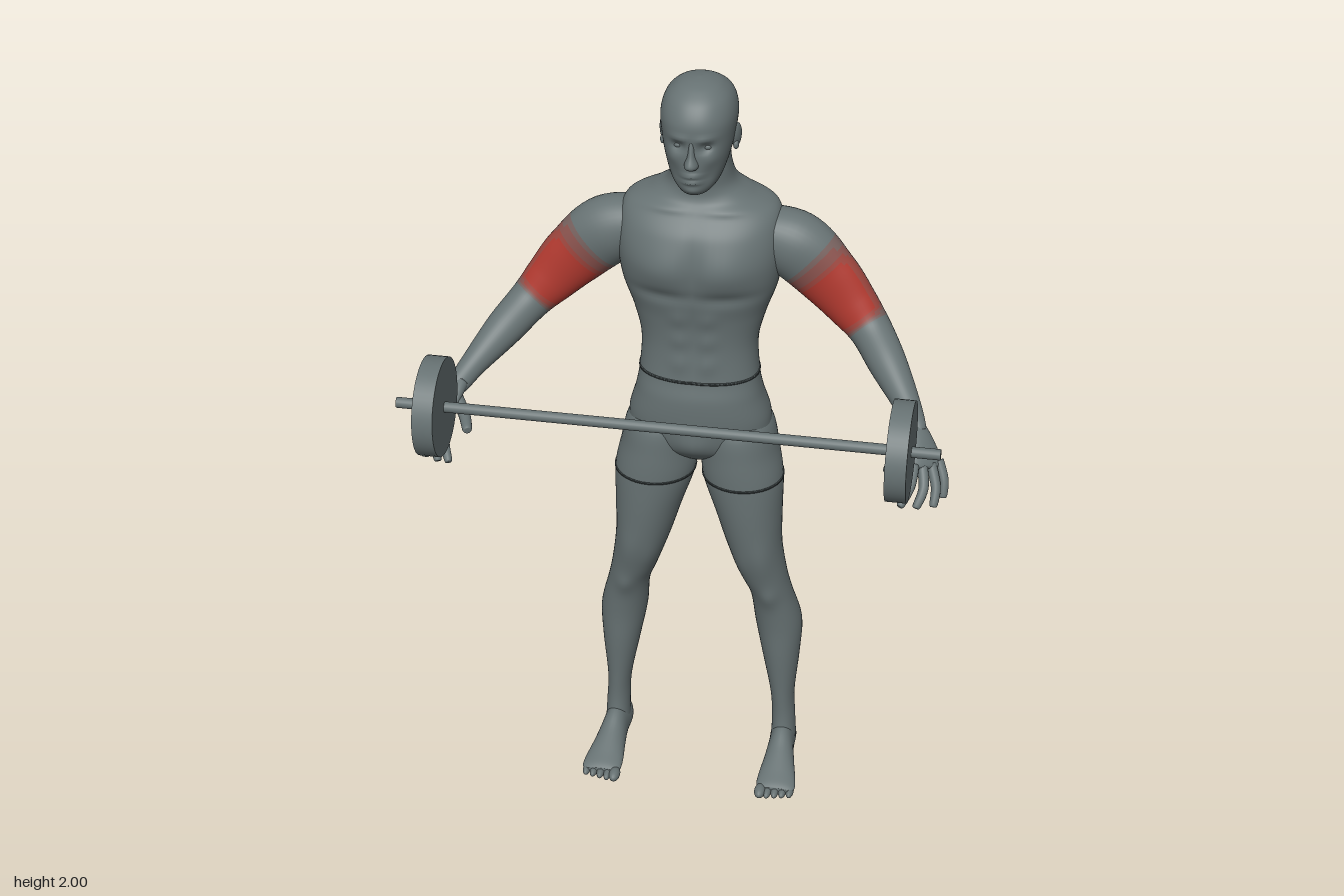
import * as THREE from 'three';

const lerp = THREE.MathUtils.lerp, smooth = THREE.MathUtils.smoothstep;
const mat = (name, color) => Object.assign(new THREE.MeshStandardMaterial({ color }), { name });

// Catmull-Rom blend of whole section rows
function sectionAt(rows, u) {
  const last = rows.length - 1, i = Math.min(Math.floor(u), last - 1), t = u - i;
  const [a, b, c, d] = [i - 1, i, i + 1, i + 2].map(k => rows[Math.max(0, Math.min(last, k))]);
  return b.map((_, k) => 0.5 * (2 * b[k] + (c[k] - a[k]) * t + (2 * a[k] - 5 * b[k] + 4 * c[k] - d[k]) * t * t
    + (3 * b[k] - a[k] - 3 * c[k] + d[k]) * t * t * t));
}

// Skin through sections [x, y, z, side radius, front radius, back radius]
function loft(rows, o = {}) {
  const { n = 32, steps = 6, front = [0, 0, 1], dir, mx = 1, from = 0, to = rows.length - 1,
    inflate = 0, pow = 1, bumps = [], level } = o;
  const m = Math.max(2, Math.round((to - from) * steps)), pos = [], buckets = [[], [], [], [], []];
  const F = new THREE.Vector3(), T = new THREE.Vector3(), S = new THREE.Vector3(), p = new THREE.Vector3();
  const at = u => { const s = sectionAt(rows, Math.max(0, Math.min(rows.length - 1, u))); s[0] *= mx; return s; };
  for (let i = 0; i <= m; i++) {
    const u = lerp(from, to, i / m), s = at(u);
    if (dir) T.set(...dir);
    else { const a = at(u - 0.05), b = at(u + 0.05); T.set(b[0] - a[0], b[1] - a[1], b[2] - a[2]).normalize(); }
    F.set(front[0] * mx, front[1], front[2]).addScaledVector(T, -T.dot(F)).normalize();
    S.crossVectors(T, F);
    for (let j = 0; j < n; j++) {
      const a = j / n * Math.PI * 2, c = Math.cos(a), d = Math.sin(a);
      const r = k => Math.max(0.001, s[k]) + inflate;
      p.set(s[0], s[1], s[2])
        .addScaledVector(S, r(3) * Math.sign(c) * Math.abs(c) ** pow)
        .addScaledVector(F, r(d > 0 ? 4 : 5) * Math.sign(d) * Math.abs(d) ** pow);
      let dz = 0;
      for (const [side, x, y, sx, sy, amp] of bumps)
        dz += side * amp * Math.sqrt(Math.max(0, side * d))
          * Math.exp(-(((Math.abs(p.x) - x) / sx) ** 2) - ((p.y - y) / sy) ** 2);
      pos.push(p.x, p.y, p.z + dz);
    }
  }
  for (let i = 0; i < m; i++) for (let j = 0; j < n; j++) {
    const a = i * n + j, b = i * n + (j + 1) % n;
    const k = level ? level(lerp(from, to, (i + 0.5) / m), (j + 0.5) / n * Math.PI * 2) : 0;
    buckets[k].push(a, a + n, b, b, a + n, b + n);
  }
  const e = at(from), f = at(to), c0 = pos.length / 3;
  pos.push(e[0], e[1], e[2], f[0], f[1], f[2]);
  for (let j = 0; j < n; j++) {
    const k = (j + 1) % n;
    buckets[0].push(c0, j, k, c0 + 1, m * n + k, m * n + j);
  }
  const g = new THREE.BufferGeometry();
  g.setAttribute('position', new THREE.Float32BufferAttribute(pos, 3));
  g.setIndex(buckets.flat());
  let start = 0;
  if (level) buckets.forEach((b, k) => { g.addGroup(start, b.length, k); start += b.length; });
  g.computeVertexNormals();
  return g;
}

// Upright section from height, half width, front z, back z and centre x
const up = ([y, w, zf, zb, x = 0]) => [x, y, (zf + zb) / 2, w, (zf - zb) / 2, (zf - zb) / 2];

export function createModel() {
  const model = new THREE.Group();
  const grey = mat('grey', 0x677273), seam = mat('seam', 0x434b4c), red = mat('muscleRed', 0xb0392f);
  const armMats = [grey, mat('faintRed', 0x78625f), mat('softRed', 0x8a534e), mat('midRed', 0x9d463e), red];
  const add = (name, geo, material = grey, parent = model) => {
    const mesh = new THREE.Mesh(geo, material);
    mesh.name = name;
    parent.add(mesh);
    return mesh;
  };
  const ball = (name, parent, at, size, rot = [0, 0, 0]) => {
    const b = add(name, new THREE.SphereGeometry(1, 20, 14), grey, parent);
    b.position.set(...at); b.scale.set(...size); b.rotation.set(...rot);
  };
  const Y = [0, 1, 0];

  // Torso and neck
  const torso = [
    [0.955, 0.04, -0.17, -0.27], [1.0, 0.165, -0.13, -0.32], [1.07, 0.18, -0.112, -0.345], [1.15, 0.16, -0.108, -0.33],
    [1.21, 0.15, -0.118, -0.315], [1.3, 0.146, -0.122, -0.318], [1.38, 0.165, -0.115, -0.338],
    [1.46, 0.192, -0.098, -0.355], [1.54, 0.203, -0.09, -0.363], [1.61, 0.2, -0.105, -0.362],
    [1.66, 0.185, -0.14, -0.352], [1.69, 0.125, -0.16, -0.34], [1.72, 0.086, -0.165, -0.325],
    [1.77, 0.072, -0.16, -0.305], [1.83, 0.068, -0.16, -0.3]].map(up);
  const torsoBumps = [
    [1, 0.08, 1.53, 0.07, 0.055, 0.013], [1, 0.08, 1.455, 0.08, 0.018, -0.008], [1, 0, 1.53, 0.014, 0.07, -0.009],
    [1, 0, 1.32, 0.01, 0.1, -0.005], [1, 0.08, 1.672, 0.06, 0.01, 0.006], [1, 0, 1.02, 0.04, 0.04, 0.012],
    ...[1.26, 1.325, 1.39].map(y => [1, 0.035, y, 0.022, 0.024, 0.005]),
    [-1, 0, 1.45, 0.028, 0.2, -0.022], [-1, 0.095, 1.57, 0.05, 0.07, 0.014], [-1, 0.05, 1.28, 0.03, 0.08, 0.006],
    [-1, 0.09, 1.06, 0.06, 0.06, 0.012], [-1, 0, 1.04, 0.02, 0.08, -0.045]];
  const torsoOpt = { dir: Y, n: 72, steps: 9, pow: 0.88, bumps: torsoBumps };
  add('torso', loft(torso, torsoOpt));
  add('waistband', loft(torso, { ...torsoOpt, from: 3.95, to: 4.03, inflate: 0.002 }), seam);

  // Head
  const head = new THREE.Group();
  head.name = 'head';
  model.add(head);
  const skull = [
    [1.733, 0.02, -0.115, -0.2], [1.742, 0.04, -0.102, -0.22], [1.77, 0.06, -0.092, -0.25], [1.82, 0.077, -0.087, -0.287],
    [1.87, 0.087, -0.086, -0.308], [1.92, 0.091, -0.087, -0.318], [1.96, 0.08, -0.108, -0.303],
    [1.985, 0.056, -0.14, -0.27], [1.996, 0.03, -0.17, -0.24], [2.0, 0.004, -0.2, -0.21]].map(up);
  add('skull', loft(skull, { dir: Y, n: 72, steps: 8, pow: 0.92, bumps: [
    [1, 0.034, 1.866, 0.016, 0.012, -0.014], [1, 0.03, 1.89, 0.024, 0.008, 0.005], [1, 0.05, 1.835, 0.016, 0.016, 0.004],
    [1, 0, 1.792, 0.022, 0.005, 0.008], [1, 0, 1.776, 0.02, 0.005, 0.008], [1, 0, 1.784, 0.026, 0.003, -0.005],
    [1, 0, 1.752, 0.02, 0.01, 0.005], [1, 0.04, 1.79, 0.014, 0.025, -0.006]] }), grey, head);
  add('nose', loft([[0, 1.885, -0.098, 0.007, 0.012, 0.01], [0, 1.85, -0.092, 0.009, 0.017, 0.01],
    [0, 1.826, -0.09, 0.017, 0.026, 0.01], [0, 1.815, -0.092, 0.014, 0.018, 0.01],
    [0, 1.811, -0.093, 0.003, 0.005, 0.005]], { n: 20, front: [0, 0, 1], dir: [0, -1, 0] }), grey, head);
  for (const s of [1, -1]) {
    ball('eye', head, [s * 0.034, 1.865, -0.114], [0.013, 0.009, 0.012]);
    ball('ear', head, [s * 0.088, 1.855, -0.208], [0.009, 0.033, 0.019], [0.2, s * -0.35, 0]);
    ball('earLobe', head, [s * 0.088, 1.832, -0.2], [0.007, 0.012, 0.01]);
  }

  // Limbs, built once for each side
  const leg = [
    [1.1, 0.06, -0.15, -0.31, 0.09], [1.05, 0.088, -0.12, -0.343, 0.098], [0.98, 0.098, -0.114, -0.34, 0.104],
    [0.905, 0.103, -0.113, -0.318, 0.113], [0.8, 0.086, -0.118, -0.305, 0.13], [0.7, 0.071, -0.13, -0.295, 0.146],
    [0.6, 0.06, -0.152, -0.293, 0.17], [0.53, 0.055, -0.172, -0.3, 0.19], [0.43, 0.061, -0.188, -0.325, 0.207],
    [0.33, 0.05, -0.195, -0.315, 0.215], [0.2, 0.032, -0.207, -0.297, 0.222], [0.12, 0.031, -0.21, -0.294, 0.226],
    [0.05, 0.033, -0.2, -0.3, 0.228]].reverse().map(up);
  const legBumps = [[1, 0.19, 0.545, 0.025, 0.03, 0.008], [1, 0.11, 0.64, 0.025, 0.05, 0.008],
    [1, 0.18, 0.68, 0.03, 0.06, 0.006], [-1, 0.21, 0.37, 0.012, 0.08, -0.006], [-1, 0.13, 0.75, 0.014, 0.1, -0.006]];
  const foot = [
    [0.225, 0.035, -0.316, 0.006, 0.01, 0.01], [0.225, 0.037, -0.305, 0.024, 0.035, 0.032],
    [0.226, 0.036, -0.27, 0.034, 0.06, 0.034], [0.228, 0.036, -0.21, 0.034, 0.066, 0.033],
    [0.231, 0.03, -0.15, 0.041, 0.045, 0.028], [0.234, 0.024, -0.09, 0.05, 0.025, 0.022],
    [0.236, 0.02, -0.055, 0.051, 0.015, 0.018], [0.237, 0.018, -0.04, 0.04, 0.008, 0.012]];
  const arm = [
    [0.11, 1.6, -0.24, 0.05, 0.06, 0.07], [0.225, 1.56, -0.238, 0.086, 0.074, 0.074], [0.312, 1.485, -0.228, 0.08, 0.054, 0.056],
    [0.375, 1.415, -0.22, 0.066, 0.05, 0.052], [0.425, 1.36, -0.2, 0.053, 0.05, 0.052],
    [0.478, 1.31, -0.13, 0.047, 0.045, 0.045], [0.535, 1.253, -0.05, 0.033, 0.032, 0.034],
    [0.563, 1.222, 0.0, 0.027, 0.023, 0.023], [0.57, 1.212, 0.012, 0.022, 0.02, 0.02]];
  const armLevel = (u, a) => Math.round(4 * smooth(u, 1.2, 2.1) * (1 - smooth(u, 3.3, 4.1))
    * Math.max(0, Math.min(1, 0.6 + 0.65 * Math.sin(a))));
  const palmUp = [0.064, 0.077, 0.047];
  const palm = [[0.56, 1.226, -0.004, 0.024, 0.02, 0.02], [0.576, 1.205, 0.025, 0.036, 0.019, 0.02],
    [0.594, 1.172, 0.055, 0.045, 0.016, 0.018], [0.602, 1.155, 0.07, 0.042, 0.012, 0.013], [0.604, 1.151, 0.074, 0.02, 0.006, 0.006]];
  // Fingers as knuckle, middle and tip points
  const fingers = [
    [[0.626, 1.158, 0.04], [0.643, 1.118, 0.062], [0.645, 1.082, 0.078]],
    [[0.61, 1.157, 0.057], [0.627, 1.112, 0.087], [0.626, 1.075, 0.112]],
    [[0.591, 1.16, 0.074], [0.6, 1.12, 0.112], [0.588, 1.085, 0.14]],
    [[0.572, 1.166, 0.088], [0.57, 1.135, 0.132], [0.553, 1.105, 0.17]],
    [[0.563, 1.2, 0.03], [0.533, 1.178, 0.075], [0.514, 1.17, 0.125]]];

  for (const mx of [1, -1]) {
    const side = mx > 0 ? 'left' : 'right';
    const group = part => { const g = new THREE.Group(); g.name = side + part; model.add(g); return g; };
    const legs = group('Leg'), arms = group('Arm');
    const legOpt = { dir: Y, n: 40, mx, bumps: legBumps };
    add('leg', loft(leg, legOpt), grey, legs);
    add('shortsHem', loft(leg, { ...legOpt, from: 8.97, to: 9.03, inflate: 0.002 }), seam, legs);
    add('foot', loft(foot, { dir: [0, 0, 1], front: Y, mx }), grey, legs);
    for (let k = 0; k < 5; k++)
      ball('toe', legs, [mx * (0.197 + k * 0.0195), k ? 0.012 : 0.015, -0.037 - k * 0.004],
        [k ? 0.0105 : 0.015, k ? 0.012 : 0.015, 0.027]);
    add('arm', loft(arm, { n: 40, steps: 9, mx, level: armLevel }), armMats, arms);
    add('palm', loft(palm, { n: 24, mx, front: palmUp }), grey, arms);
    fingers.forEach(([a, b, c], k) => {
      const r = k === 4 ? 0.014 : 0.0115, row = (p, s) => [...p, r * s, r * s, r * s];
      const end = c.map((v, i) => v + (c[i] - b[i]) * 0.12);
      add(k === 4 ? 'thumb' : 'finger', loft([row(a, 1.15), row(b, 1.05), row(c, 0.85), row(end, 0.3)],
        { n: 14, mx, front: palmUp }), grey, arms);
    });
  }

  // Barbell
  const barbell = new THREE.Group();
  barbell.name = 'barbell';
  barbell.position.set(0, 1.31, 0.255);
  barbell.rotation.z = Math.PI / 2;
  model.add(barbell);
  add('bar', new THREE.CylinderGeometry(0.013, 0.013, 1.295, 20), grey, barbell);
  for (const s of [1, -1])
    add('weightPlate', new THREE.CylinderGeometry(0.12, 0.12, 0.05, 48), grey, barbell).position.y = s * 0.555;
  return model;
}
